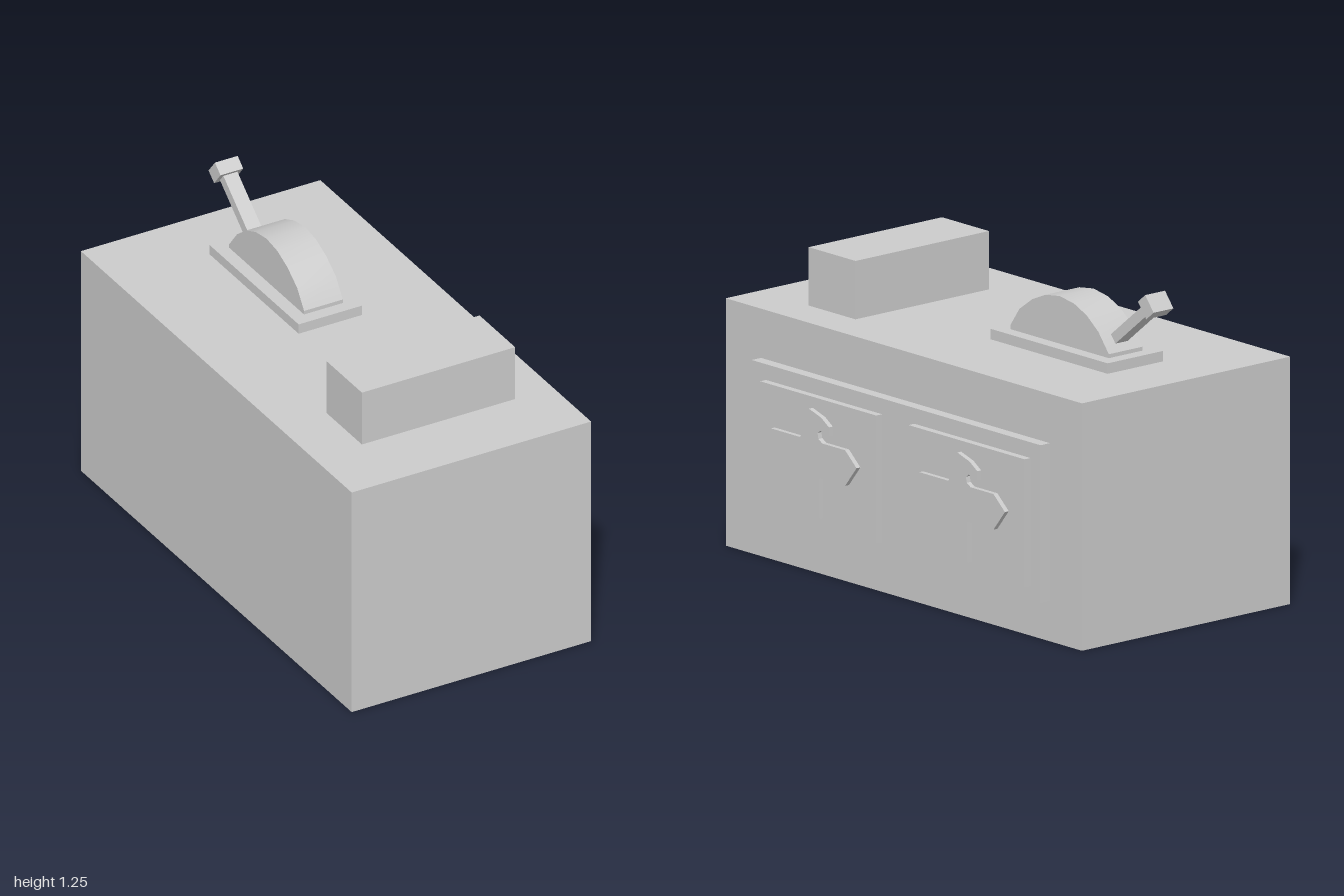
import * as THREE from 'three';
import { toCreasedNormals } from 'three/addons/utils/BufferGeometryUtils.js';

const material = new THREE.MeshStandardMaterial({ color: 0xcccccc, side: THREE.DoubleSide });

export function createModel() {
  const model = new THREE.Group();

  const add = (name, geometry) => {
    const mesh = new THREE.Mesh(geometry, material);
    mesh.name = name;
    model.add(mesh);
    return mesh;
  };

  // Box given by its extents on each axis
  const block = (name, [x0, x1], [y0, y1], [z0, z1]) => {
    const mesh = add(name, new THREE.BoxGeometry(x1 - x0, y1 - y0, z1 - z0));
    mesh.position.set((x0 + x1) / 2, (y0 + y1) / 2, (z0 + z1) / 2);
    return mesh;
  };

  // Side outline (u = -z, v = y) extruded towards +x
  const sideExtrude = (points, depth, crease) => {
    const shape = new THREE.Shape(points.map(([u, v]) => new THREE.Vector2(u, v)));
    const geometry = new THREE.ExtrudeGeometry(shape, { depth, bevelEnabled: false });
    return toCreasedNormals(geometry.rotateY(Math.PI / 2), crease);
  };

  // Main housing, a shell open underneath
  const body = block('housing', [-0.56, 0.46], [0, 0.945], [-1, 1]);
  const faces = Array.from(body.geometry.index.array);
  faces.splice(18, 6);
  body.geometry.setIndex(faces);
  body.geometry.clearGroups();

  // Raised block on top near the front
  block('topBlock', [-0.355, 0.298], [0.945, 1.168], [0.457, 0.72]);

  // Lever base and domed slot cover
  block('leverPlate', [-0.16, 0.11], [0.945, 0.985], [-0.743, -0.085]);
  const dome = add('leverDome', sideExtrude([
    [0.137, 0.985], [0.69, 0.985], [0.69, 1.0], [0.632, 1.073], [0.565, 1.124], [0.495, 1.154],
    [0.415, 1.167], [0.335, 1.156], [0.26, 1.124], [0.188, 1.073], [0.137, 1.0],
  ], 0.165, 0.6));
  dome.position.x = -0.107;

  // Tilted lever with a square knob
  const lever = new THREE.Group();
  lever.name = 'lever';
  lever.position.set(-0.023, 1.208, -0.86);
  lever.rotation.x = 0.68;
  const knob = new THREE.Mesh(new THREE.BoxGeometry(0.097, 0.075, 0.053), material);
  knob.name = 'leverKnob';
  const shaft = new THREE.Mesh(new THREE.BoxGeometry(0.06, 0.04, 0.28), material);
  shaft.name = 'leverShaft';
  shaft.position.z = 0.15;
  lever.add(knob, shaft);
  model.add(lever);

  // Side panel with two tiles, each carrying a bird relief
  block('sidePanel', [0.46, 0.506], [0.155, 0.757], [-0.82, 0.802]);
  const bird = sideExtrude([
    [-0.05, 0.246], [0.053, 0.246], [0.053, 0.401], [0.198, 0.401], [0.262, 0.481], [0.198, 0.537],
    [0.07, 0.537], [0.048, 0.55], [0.043, 0.572], [0.059, 0.583], [0.107, 0.572], [0.107, 0.606],
    [0.064, 0.634], [-0.005, 0.655], [-0.034, 0.626], [-0.039, 0.561], [-0.055, 0.537],
    [-0.219, 0.537], [-0.276, 0.481], [-0.225, 0.401], [-0.05, 0.401],
  ], 0.019, 0.5);
  for (const z of [0.42, -0.413]) {
    block('sideTile', [0.506, 0.535], [0.208, 0.697], [z - 0.352 + 0.001, z + 0.301]).position.z = z - 0.025;
    add('birdRelief', bird).position.set(0.535, 0, z);
  }

  return model;
}
